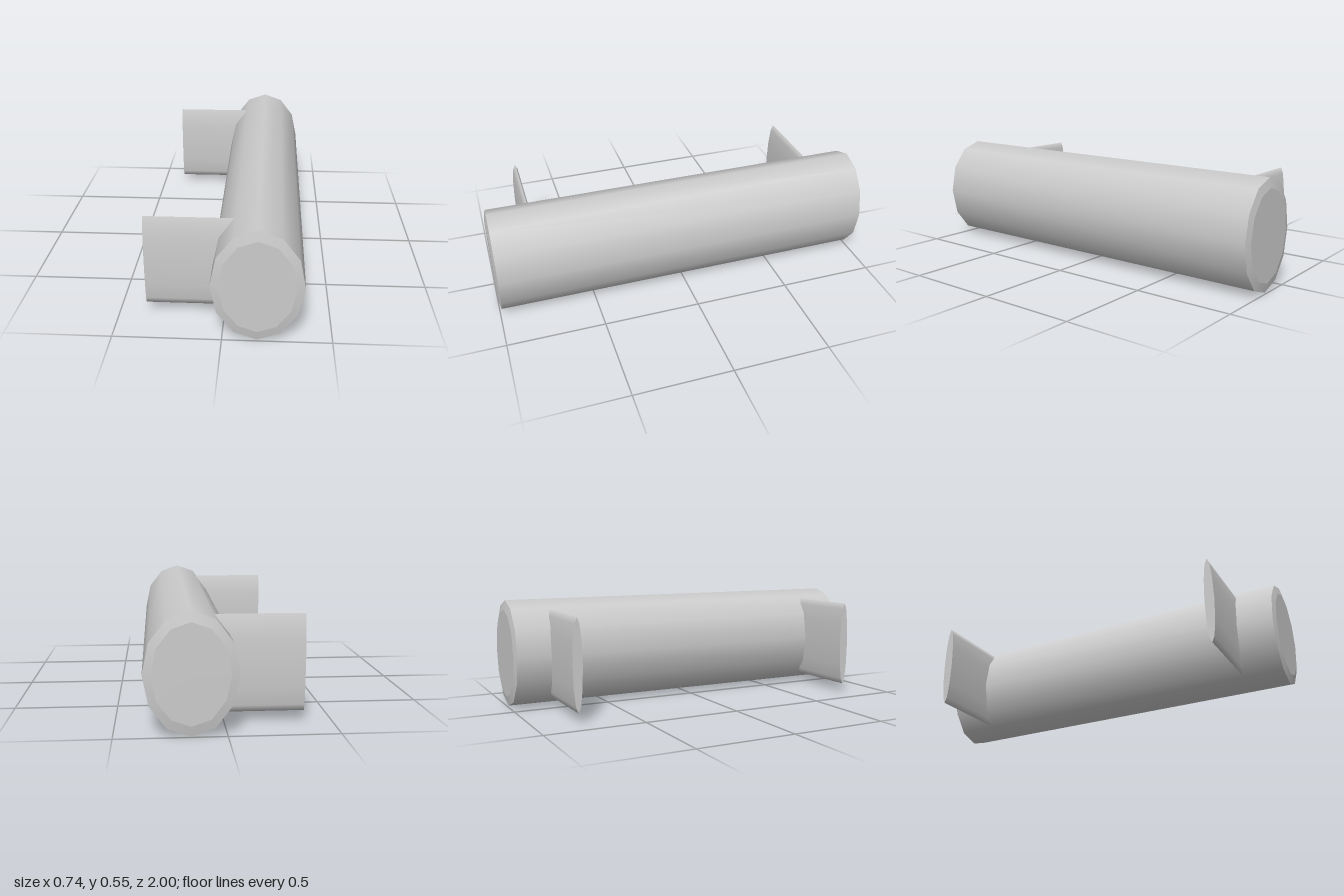
import * as THREE from 'three';

const CENTER_X = 0.159, CENTER_Y = 0.277;
const RX = 0.211, RY = 0.276, BEVEL = 0.01;
const material = new THREE.MeshStandardMaterial({ color: 0xcccccc });

function addMesh(parent, name, geometry) {
  const mesh = new THREE.Mesh(geometry, material);
  mesh.name = name;
  parent.add(mesh);
  return mesh;
}

// Twelve-sided oval cylinder along z
function ovalCylinder(frontRadius, backRadius, length, open) {
  return new THREE.CylinderGeometry(frontRadius, backRadius, length, 12, 1, open)
    .rotateX(Math.PI / 2)
    .scale(RX, RY, 1);
}

export function createModel() {
  const model = new THREE.Group();
  model.name = 'finnedCylinder';

  // Main body with shallow bevelled ends
  const body = new THREE.Group();
  body.name = 'body';
  body.position.set(CENTER_X, CENTER_Y, 0);
  model.add(body);
  addMesh(body, 'bodyTube', ovalCylinder(1, 1, 2 - 2 * BEVEL, true));
  addMesh(body, 'frontEnd', ovalCylinder(0.828, 1, BEVEL, false))
    .position.z = 1 - BEVEL / 2;
  addMesh(body, 'backEnd', ovalCylinder(1, 0.828, BEVEL, false))
    .position.z = -1 + BEVEL / 2;

  // Thin oval fins reaching out from the body's right side
  const finOuter = -0.372, finInner = 0.13;
  for (const [name, z] of [['frontFin', 0.78], ['backFin', -0.79]]) {
    const fin = new THREE.CylinderGeometry(1, 1, finInner - finOuter, 12)
      .rotateZ(Math.PI / 2)
      .scale(1, 0.228, 0.025);
    addMesh(model, name, fin)
      .position.set((finInner + finOuter) / 2, CENTER_Y, z);
  }

  return model;
}
